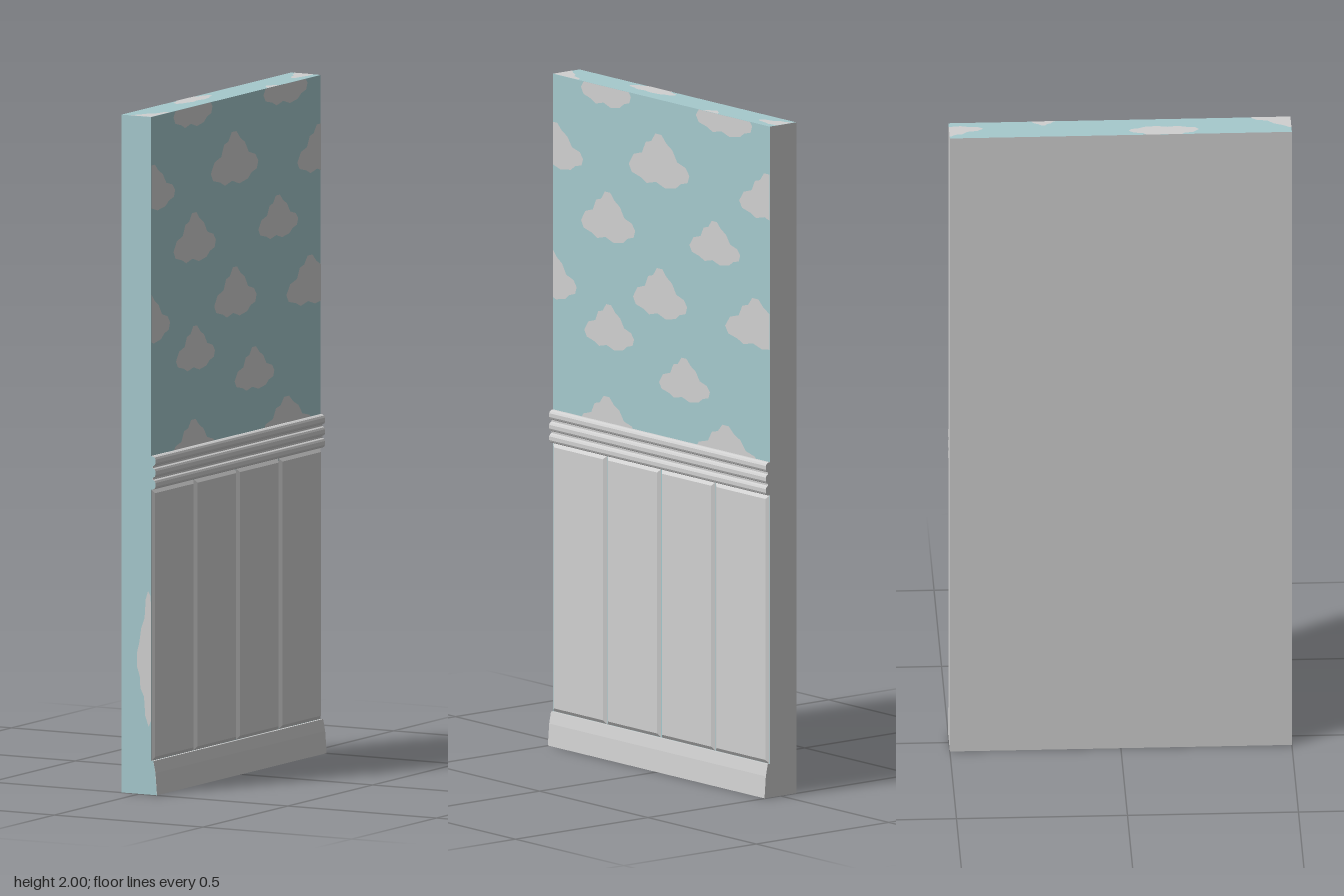
import * as THREE from 'three';

const mat = (name, color) => {
  const m = new THREE.MeshStandardMaterial({ color });
  m.name = name;
  return m;
};

// Cloud outline in a unit box: u from -0.5 to 0.5, v from 0 to 1
const CLOUD = [[-0.5, 0.3], [-0.45, 0.16], [-0.3, 0.1], [-0.2, 0.02], [-0.05, 0.08], [0.1, 0], [0.28, 0.05],
  [0.36, 0.15], [0.47, 0.2], [0.5, 0.34], [0.44, 0.47], [0.3, 0.54], [0.22, 0.74], [0.12, 0.84], [0.04, 0.98],
  [-0.06, 0.98], [-0.13, 0.82], [-0.22, 0.78], [-0.28, 0.57], [-0.42, 0.5]];

// Keeps the part of a polygon on one side of a line along an axis
function clip(pts, axis, limit, sign) {
  const out = [];
  pts.forEach((p, i) => {
    const q = pts[(i + 1) % pts.length];
    const a = sign * (limit - p[axis]), b = sign * (limit - q[axis]);
    if (a >= 0) out.push(p);
    if (a * b < 0) {
      const t = a / (a - b);
      out.push([p[0] + (q[0] - p[0]) * t, p[1] + (q[1] - p[1]) * t]);
    }
  });
  return out;
}

// Flat clouds [u0, u1, v0, v1] trimmed to the rectangle r; turned stands them along v
function cloudGeometry([u0, u1, v0, v1], r, turned) {
  let pts = CLOUD.map(([a, b]) => turned
    ? [u0 + (u1 - u0) * (1 - b), v0 + (v1 - v0) * (a + 0.5)]
    : [u0 + (u1 - u0) * (a + 0.5), v0 + (v1 - v0) * b]);
  pts = clip(clip(clip(clip(pts, 0, r[0], -1), 0, r[1], 1), 1, r[2], -1), 1, r[3], 1);
  return new THREE.ShapeGeometry(new THREE.Shape(pts.map(p => new THREE.Vector2(...p))));
}

export function createModel() {
  const group = new THREE.Group();
  const blue = mat('sky blue', 0xa5c9cd);
  const white = mat('soft white', 0xd0d0d0);

  const add = (name, geometry, material, parent = group) => {
    const m = new THREE.Mesh(geometry, material);
    m.name = name;
    parent.add(m);
    return m;
  };

  // Wall slab: plain back and rear end, papered elsewhere
  const slab = add('wall', new THREE.BoxGeometry(0.1, 2, 1), [blue, white, blue, blue, blue, white]);
  slab.position.set(-0.01, 1, 0);

  // Clouds on each papered face, laid out in the face's own u, v
  const cloudFace = (name, list, rect, turned, place) => {
    const face = new THREE.Group();
    face.name = name;
    list.forEach(c => add('cloud', cloudGeometry(c, rect, turned), white, face));
    place(face);
    group.add(face);
  };
  cloudFace('wallpaperClouds', [
    [-0.37, -0.14, 1.94, 2.08], [0.16, 0.42, 1.94, 2.08],
    [-0.62, -0.36, 1.72, 1.86], [-0.15, 0.13, 1.74, 1.9], [0.36, 0.62, 1.715, 1.86],
    [-0.37, -0.12, 1.54, 1.69], [0.13, 0.365, 1.55, 1.68],
    [-0.63, -0.39, 1.33, 1.48], [-0.13, 0.12, 1.35, 1.5], [0.295, 0.58, 1.33, 1.48],
    [-0.355, -0.125, 1.22, 1.355], [-0.01, 0.225, 1.12, 1.25],
    [-0.38, -0.12, 0.94, 1.08], [0.15, 0.45, 0.94, 1.08],
  ], [-0.5, 0.5, 1, 2], false, f => { f.rotation.y = Math.PI / 2; f.position.x = 0.0412; });

  const capRect = [-0.06, 0.04, -0.5, 0.5];
  const capClouds = [[-0.05, 0.02, 0.4, 0.62], [0.012, 0.07, 0.17, 0.28],
    [-0.09, -0.005, -0.23, -0.025], [-0.03, 0.07, -0.62, -0.385]];
  cloudFace('topClouds', capClouds, capRect, true, f => { f.rotation.x = -Math.PI / 2; f.position.y = 2.0005; });
  cloudFace('bottomClouds', capClouds, capRect, true, f => { f.rotation.x = Math.PI / 2; f.position.y = -0.0005; });
  cloudFace('endCloud', [[-0.008, 0.05, 0.2, 0.6]], [-0.06, 0.04, 0, 2], true, f => { f.position.z = 0.501; });

  // Mouldings: a side profile run along the wall, with a papered front end
  const moulding = (name, pts) => {
    const shape = new THREE.Shape(pts.map(p => new THREE.Vector2(...p)));
    add(name, new THREE.ExtrudeGeometry(shape, { depth: 1, bevelEnabled: false }), white).position.z = -0.5;
    add(name + 'End', new THREE.ShapeGeometry(shape), blue).position.z = 0.5008;
  };

  moulding('skirting', [[0.038, 0], [0.06, 0], [0.055, 0.065], [0.051, 0.085], [0.048, 0.1], [0.038, 0.1]]);
  const under = add('skirtingUnderside', new THREE.PlaneGeometry(0.02, 1), blue);
  under.rotation.x = Math.PI / 2;
  under.position.set(0.05, -0.0005, 0);

  // Dado rail with three rounded beads
  const rail = [[0.038, 0.9]];
  for (let i = 0; i < 3; i++) {
    const y = 0.9 + i * 0.0345;
    rail.push([0.046, y + 0.001], [0.052, y + 0.004], [0.055, y + 0.01], [0.055, y + 0.021],
      [0.052, y + 0.027], [0.046, y + 0.03]);
  }
  rail.push([0.038, 1]);
  moulding('dadoRail', rail);

  // Four raised panels with bevelled edges
  const bevel = 0.012, height = 0.802;
  for (let i = 0; i < 4; i++) {
    const g = new THREE.BoxGeometry(0.008, height, 0.25);
    const p = g.attributes.position;
    for (let k = 0; k < p.count; k++) {
      if (p.getX(k) > 0) {
        p.setY(k, p.getY(k) - Math.sign(p.getY(k)) * bevel);
        p.setZ(k, p.getZ(k) - Math.sign(p.getZ(k)) * bevel);
      }
    }
    g.computeVertexNormals();
    add('panel', g, white).position.set(0.043, 0.5, -0.375 + i * 0.25);
  }

  return group;
}
